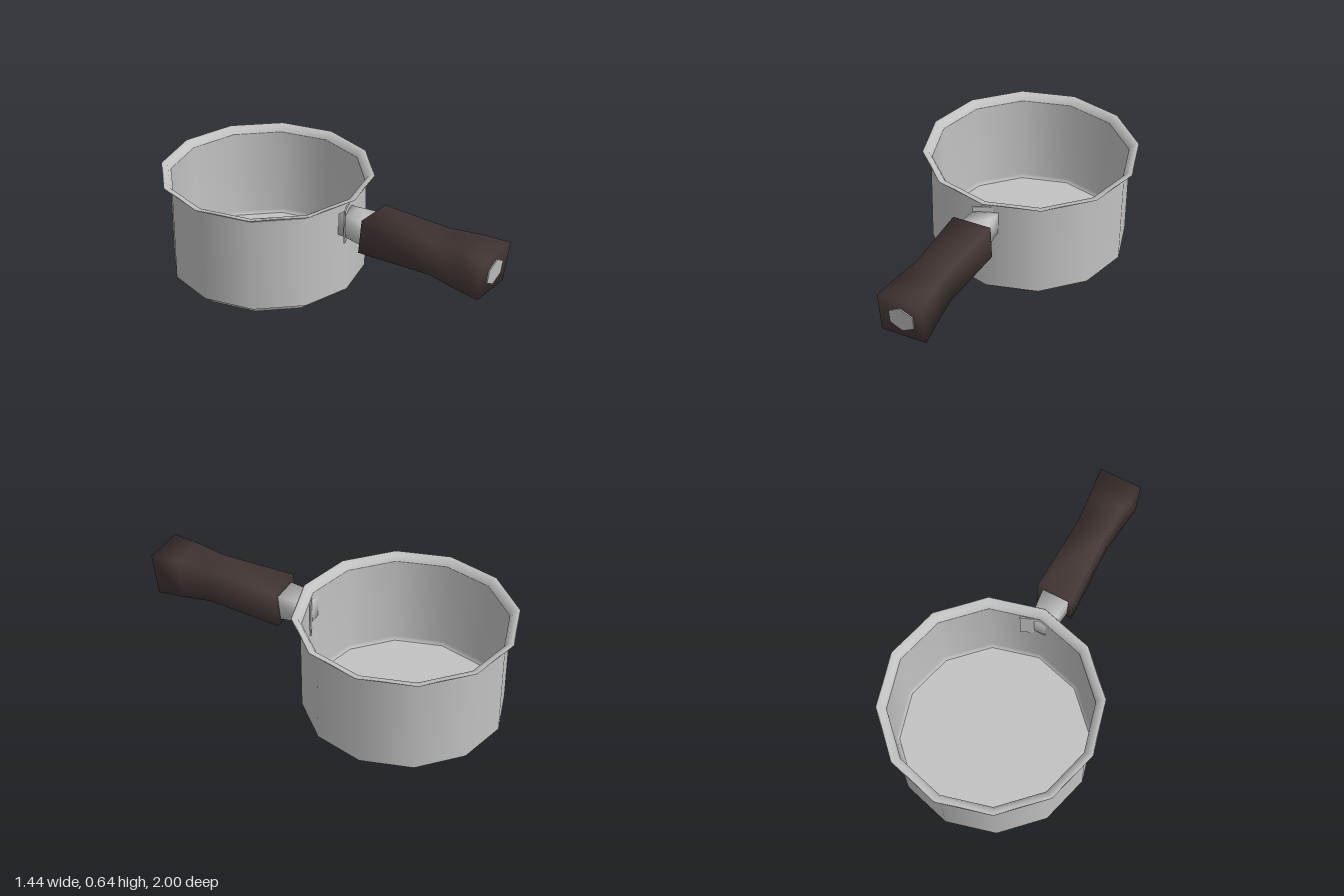
import * as THREE from 'three';

const steel = new THREE.MeshStandardMaterial({ color: 0xc2c2c2 });
steel.name = 'steel';
const darkBrown = new THREE.MeshStandardMaterial({ color: 0x453836 });
darkBrown.name = 'dark brown';

function add(parent, name, geometry, material) {
  const mesh = new THREE.Mesh(geometry, material);
  mesh.name = name;
  parent.add(mesh);
  return mesh;
}

// Twelve-sided turned part from [radius, height] pairs
function turned(profile) {
  const points = profile.map(([r, y]) => new THREE.Vector2(r, y));
  return new THREE.LatheGeometry(points, 12, -0.028, Math.PI * 2);
}

// Smooth four-sided bar along z; each ring is [zTop, zBottom, halfWidth, yBottom, yTop]
function bar(rings) {
  const pos = [], index = [];
  for (const [zt, zb, w, yb, yt] of rings) {
    pos.push(w, yb, zb, w, yt, zt, -w, yt, zt, -w, yb, zb);
  }
  for (let i = 0; i < rings.length - 1; i++) {
    for (let j = 0; j < 4; j++) {
      const a = i * 4 + j, b = i * 4 + (j + 1) % 4;
      index.push(a, b, b + 4, a, b + 4, a + 4);
    }
  }
  const n = (rings.length - 1) * 4;
  index.push(0, 3, 2, 0, 2, 1, n, n + 1, n + 2, n, n + 2, n + 3);
  const g = new THREE.BufferGeometry();
  g.setAttribute('position', new THREE.Float32BufferAttribute(pos, 3));
  g.setIndex(index);
  g.computeVertexNormals();
  return g;
}

export function createModel() {
  const model = new THREE.Group();
  model.name = 'saucepan';

  const pan = new THREE.Group();
  pan.name = 'pan';
  pan.position.set(-0.11, 0, -0.392);
  model.add(pan);

  // Bowl, split where its edges are sharp
  const bowlParts = {
    baseUnderside: [[0, 0], [0.5, 0]],
    baseSide: [[0.5, 0], [0.514, 0.015], [0.519, 0.035], [0.515, 0.053]],
    bodyUnderside: [[0.505, 0.053], [0.5625, 0.053]],
    bodyWall: [[0.5625, 0.053], [0.5625, 0.6]],
    rim: [[0.5625, 0.6], [0.571, 0.621], [0.603, 0.629], [0.61, 0.634],
      [0.604, 0.638], [0.573, 0.631], [0.555, 0.6]],
    innerWall: [[0.555, 0.6], [0.552, 0.08], [0.535, 0.06]],
    floor: [[0.535, 0.06], [0, 0.06]],
  };
  for (const [name, profile] of Object.entries(bowlParts)) {
    add(pan, name, turned(profile), steel);
  }

  // Handle assembly, pointing outward along its own z
  const handle = new THREE.Group();
  handle.name = 'handleAssembly';
  handle.rotation.y = 0.4957;
  pan.add(handle);

  const bracket = add(handle, 'bracketPlate', new THREE.BoxGeometry(0.19, 0.2, 0.008), steel);
  bracket.position.set(0.02, 0.49, 0.555);
  bracket.rotation.y = 0.4;

  add(handle, 'neck', bar([
    [0.545, 0.545, 0.063, 0.43, 0.557],
    [0.6, 0.6, 0.065, 0.428, 0.56],
    [0.76, 0.76, 0.083, 0.42, 0.568],
  ]), steel);

  add(handle, 'grip', bar([
    [0.735, 0.716, 0.11, 0.395, 0.6],
    [1.17, 1.16, 0.093, 0.413, 0.612],
    [1.35, 1.34, 0.107, 0.396, 0.632],
    [1.51, 1.48, 0.125, 0.395, 0.633],
  ]), darkBrown);

  // Hexagonal cap set in the slanted end of the grip
  const cap = add(handle, 'endCap', new THREE.CylinderGeometry(0.077, 0.077, 0.008, 6), steel);
  cap.rotation.x = Math.PI / 2 + 0.126;
  cap.position.set(0, 0.512, 1.497);

  return model;
}
